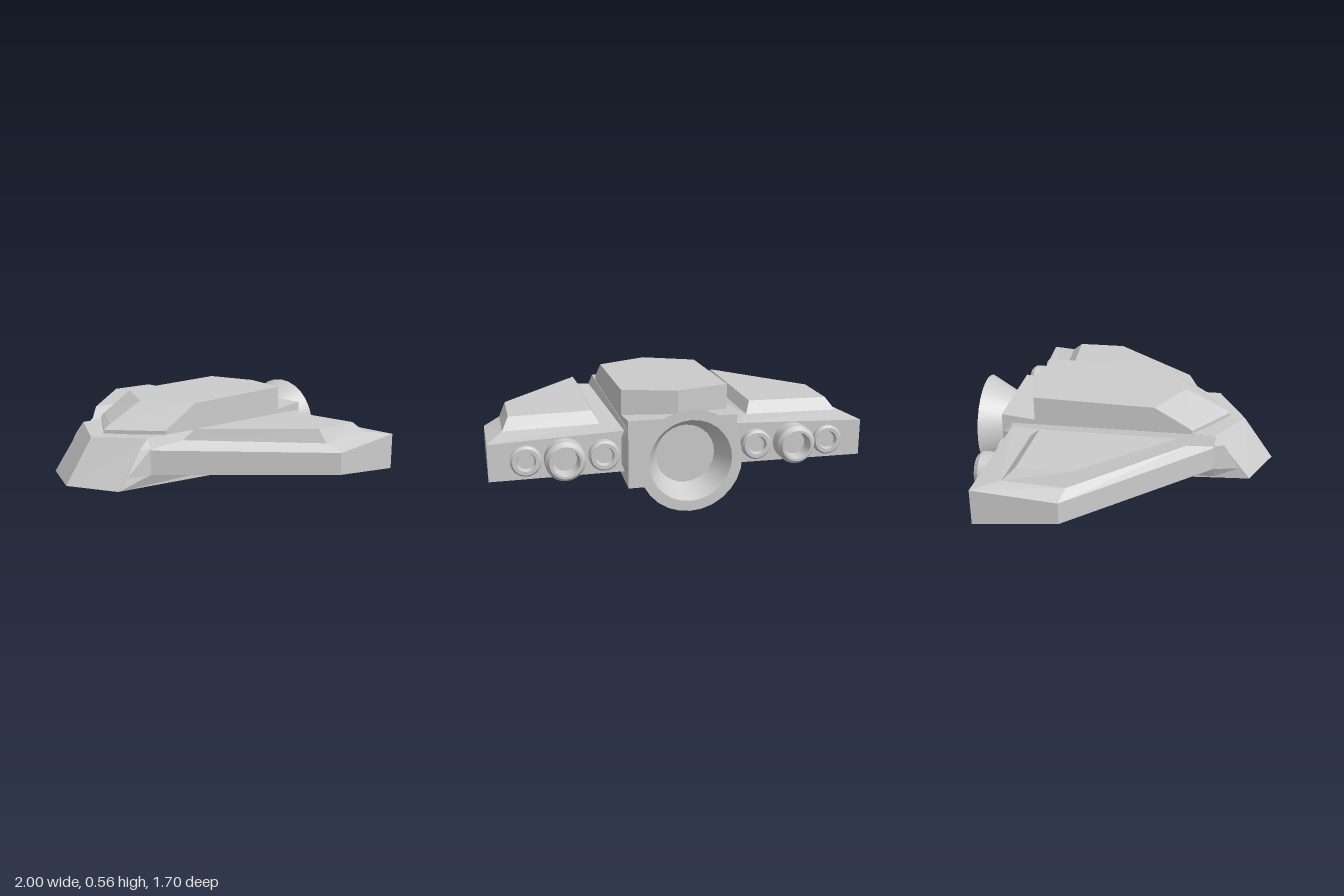
import * as THREE from 'three';
import { toCreasedNormals } from 'three/addons/utils/BufferGeometryUtils.js';

const material = new THREE.MeshStandardMaterial({ color: 0xcccccc, flatShading: true });
const smooth = new THREE.MeshStandardMaterial({ color: 0xcccccc, side: THREE.DoubleSide });

// Joins stacked loops of [x, y, z] corners (counter-clockwise from above) and caps both ends.
function loft(name, loops, mirror = false) {
  if (mirror) loops = loops.map(l => l.map(([x, y, z]) => [-x, y, z]).reverse());
  const n = loops[0].length, index = [];
  for (let k = 0; k < loops.length - 1; k++) {
    for (let i = 0; i < n; i++) {
      const j = (i + 1) % n, a = k * n + i, b = k * n + j;
      index.push(a, b, b + n, a, b + n, a + n);
    }
  }
  const top = (loops.length - 1) * n;
  for (let i = 1; i < n - 1; i++) {
    index.push(0, i + 1, i, top, top + i, top + i + 1);
  }
  const indexed = new THREE.BufferGeometry();
  indexed.setAttribute('position', new THREE.Float32BufferAttribute(loops.flat(2), 3));
  indexed.setIndex(index);
  const geometry = indexed.toNonIndexed();
  geometry.computeVertexNormals();
  const mesh = new THREE.Mesh(geometry, material);
  mesh.name = name;
  return mesh;
}

// Five-cornered outline with a pointed front; each corner pair is [z, y].
function pointed(w, [cz, cy], [sz, sy], [bz, by]) {
  return [[0, cy, cz], [w, sy, sz], [w, by, bz], [-w, by, bz], [-w, sy, sz]];
}

// Six-cornered outline, pointed at the front and slightly at the back.
function canopyLoop([cz, cy], [sz, sy], backY) {
  const w = 0.29;
  return [[0, cy, cz], [w, sy, sz], [w, backY, -0.5], [0, backY, -0.575],
    [-w, backY, -0.5], [-w, sy, sz]];
}

// Hollow nozzle facing backwards; the profile is [radius, distance].
function nozzle(name, x, y, z, profile) {
  const lathe = new THREE.LatheGeometry(profile.map(p => new THREE.Vector2(...p)), 28);
  lathe.rotateX(-Math.PI / 2);
  const mesh = new THREE.Mesh(toCreasedNormals(lathe, 0.45), smooth);
  mesh.name = name;
  mesh.position.set(x, y, z);
  return mesh;
}

export function createModel() {
  const model = new THREE.Group();
  model.name = 'spaceship';

  // Central body
  model.add(loft('hull', [
    pointed(0.29, [0.845, 0.145], [0.72, 0.15], [-0.69, 0.09]),
    pointed(0.29, [0.675, 0.386], [0.52, 0.405], [-0.69, 0.425]),
  ]));
  model.add(loft('rearDeck', [
    [[0.29, 0.4, -0.4], [0.29, 0.4, -0.69], [-0.29, 0.4, -0.69], [-0.29, 0.4, -0.4]],
    [[0.29, 0.422, -0.4], [0.29, 0.455, -0.69], [-0.29, 0.455, -0.69], [-0.29, 0.422, -0.4]],
  ]));

  // Canopy with a narrow lip, a sloped windscreen and a long flat roof
  model.add(loft('canopy', [
    canopyLoop([0.59, 0.395], [0.39, 0.4], 0.41),
    canopyLoop([0.59, 0.415], [0.39, 0.425], 0.43),
    canopyLoop([0.55, 0.44], [0.37, 0.44], 0.45),
    canopyLoop([0.33, 0.548], [0.18, 0.552], 0.57),
  ]));

  for (const mirror of [false, true]) {
    const side = mirror ? 'right' : 'left';

    // Bevelled fairing where the wing meets the hull
    const fairing = [[0.15, 0.292, 0.71], [0.21, 0.315, 0.66], [0.35, 0.315, 0.57], [0.405, 0.292, 0.52]];
    model.add(loft(side + 'Fairing', fairing.map(([y, w, front]) => [
      [0.29, y, front], [w, y, 0.52], [w, y, -0.63], [0.29, y, -0.69],
    ]), mirror));

    // Wing with chamfered rim and raised armour panel
    model.add(loft(side + 'Wing', [
      [[0.3, 0.21, 0.535], [1, 0.216, -0.215], [1, 0.175, -0.665], [0.3, 0.165, -0.63]],
      [[0.3, 0.343, 0.535], [1, 0.335, -0.215], [1, 0.372, -0.665], [0.3, 0.388, -0.63]],
      [[0.405, 0.392, 0.37], [0.915, 0.376, -0.19], [0.915, 0.392, -0.52], [0.405, 0.392, -0.495]],
      [[0.44, 0.45, 0.32], [0.88, 0.45, -0.17], [0.88, 0.45, -0.455], [0.44, 0.45, -0.435]],
    ], mirror));

    // Three thrusters on the trailing edge
    const s = mirror ? -1 : 1;
    for (const x of [0.41, 0.81]) {
      model.add(nozzle(side + 'SmallThruster', s * x, 0.272, -0.62, [
        [0.08, 0], [0.08, 0.05], [0.07, 0.062], [0.05, 0.062], [0.043, 0.04], [0, 0.04],
      ]));
    }
    model.add(nozzle(side + 'LargeThruster', s * 0.615, 0.272, -0.62, [
      [0.104, 0], [0.104, 0.095], [0.085, 0.12], [0.072, 0.12], [0.062, 0.055], [0, 0.055],
    ]));
  }

  // Main engine bell
  model.add(nozzle('mainEngine', 0, 0.275, -0.68, [
    [0.175, 0], [0.27, 0.17], [0.215, 0.17], [0.155, 0.05], [0, 0.05],
  ]));

  return model;
}
